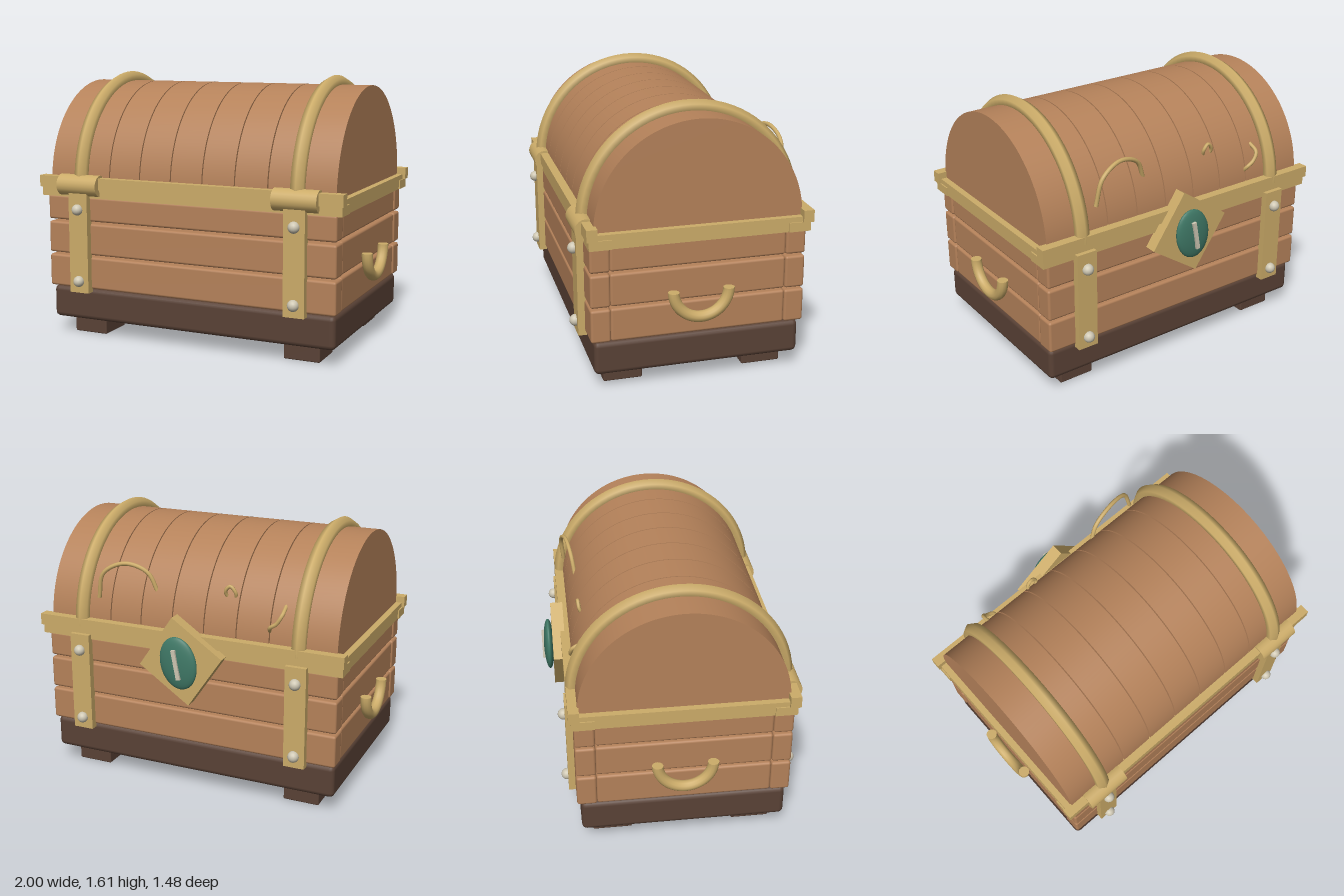
import * as THREE from 'three';
import { toCreasedNormals } from 'three/addons/utils/BufferGeometryUtils.js';
import { RoundedBoxGeometry } from 'three/addons/geometries/RoundedBoxGeometry.js';

export function createModel() {
  const model = new THREE.Group();
  model.name = 'treasureChest';

  const mat = (name, color) => {
    const m = new THREE.MeshStandardMaterial({ color });
    m.name = name;
    return m;
  };
  const wood = mat('wood', 0xb5825a);
  const darkWood = mat('darkWood', 0x5a4236);
  const gold = mat('gold', 0xccac69);
  const green = mat('greenStone', 0x3f7866);
  const silver = mat('rivetMetal', 0xcdc6b2);

  const add = (name, geo, material, x = 0, y = 0, z = 0, parent = model) => {
    const mesh = new THREE.Mesh(geo, material);
    mesh.name = name;
    mesh.position.set(x, y, z);
    parent.add(mesh);
    return mesh;
  };
  // Box given by its limits on each axis, optionally rounded
  const box = (name, material, [x0, x1], [y0, y1], [z0, z1], r = 0) => {
    const s = [x1 - x0, y1 - y0, z1 - z0];
    const geo = r ? new RoundedBoxGeometry(...s, 2, r) : new THREE.BoxGeometry(...s);
    return add(name, geo, material, (x0 + x1) / 2, (y0 + y1) / 2, (z0 + z1) / 2);
  };
  const sideRange = (s, a, b) => (s > 0 ? [a, b] : [-b, -a]);

  // Base and feet
  box('base', darkWood, [-0.925, 0.925], [0.1, 0.3], [-0.575, 0.64], 0.03);
  for (const s of [-1, 1]) {
    for (const z of [[0.34, 0.57], [-0.505, -0.27]]) {
      box('foot', darkWood, sideRange(s, 0.593, 0.815), [0, 0.11], z, 0.008);
    }
  }

  // Hollow body of planks with gaps between the rows
  for (const y of [[0.305, 0.503], [0.516, 0.71], [0.724, 0.875]]) {
    box('frontPlank', wood, [-0.935, 0.935], y, [0.545, 0.66], 0.015);
    box('backPlank', wood, [-0.935, 0.935], y, [-0.597, -0.48], 0.015);
    for (const s of [-1, 1]) {
      box('sidePlank', wood, sideRange(s, 0.82, 0.93), y, [-0.48, 0.545], 0.015);
    }
  }

  // Rim around the top of the body
  box('frontRimLower', gold, [-0.968, 0.968], [0.87, 0.925], [0.54, 0.668]);
  box('frontRimUpper', gold, [-0.978, 0.978], [0.925, 0.995], [0.62, 0.682]);
  box('backRimLower', gold, [-0.968, 0.968], [0.87, 0.925], [-0.61, -0.48]);
  box('backRimUpper', gold, [-0.978, 0.978], [0.925, 0.995], [-0.625, -0.563]);
  for (const s of [-1, 1]) {
    box('sideRim', gold, sideRange(s, 0.9, 0.96), [0.87, 0.955], [-0.565, 0.625]);
  }

  // Barrel lid: nine half-round slices
  const lidY = 0.95, midZ = 0.03, pitch = 1.85 / 9;
  const arch = new THREE.Shape();
  arch.absarc(0, 0, 0.603, 0, Math.PI, false);
  const slice = toCreasedNormals(new THREE.ExtrudeGeometry(arch, {
    depth: pitch - 0.007, bevelEnabled: false, curveSegments: 40,
  }).translate(0, 0, -(pitch - 0.007) / 2).rotateY(Math.PI / 2), 0.5);
  for (let i = 0; i < 9; i++) add('lidPlank', slice, wood, (i - 4) * pitch, lidY, midZ);

  // Straps, hinges, rivets and side handles
  const lidStrap = new THREE.TorusGeometry(0.615, 0.045, 6, 40, Math.PI).rotateY(Math.PI / 2);
  const hinge = new THREE.CylinderGeometry(0.065, 0.065, 0.27, 20).rotateZ(Math.PI / 2);
  const rivet = new THREE.SphereGeometry(0.034, 16, 12);
  const handle = new THREE.TorusGeometry(0.162, 0.033, 12, 28, Math.PI)
    .rotateZ(Math.PI).rotateY(Math.PI / 2);
  const handleCap = new THREE.CircleGeometry(0.033, 12).rotateX(-Math.PI / 2);
  for (const s of [-1, 1]) {
    add('lidStrap', lidStrap, gold, s * 0.7, lidY, midZ);
    add('hinge', hinge, gold, s * 0.7, 0.945, 0.655);
    box('frontStrap', gold, sideRange(s, 0.636, 0.764), [0.285, 0.91], [0.65, 0.7]);
    box('backStrap', gold, sideRange(s, 0.636, 0.764), [0.285, 0.9], [-0.637, -0.59]);
    for (const y of [0.8, 0.357]) {
      add('frontRivet', rivet, silver, s * 0.7, y, 0.705);
      add('backRivet', rivet, silver, s * 0.7, y, -0.643);
    }
    add('sideHandle', handle, gold, s * 0.967, 0.58, 0.032);
    for (const d of [-0.162, 0.162]) {
      add('handleEnd', handleCap, gold, s * 0.967, 0.58, 0.032 + d);
    }
  }

  // Lock on the back: tilted square plate, oval stone and a slim bar
  const lock = new THREE.Group();
  lock.name = 'lock';
  lock.position.set(0, 0.84, 0);
  lock.rotation.z = -0.187;
  model.add(lock);
  add('lockPlate', new THREE.BoxGeometry(0.381, 0.381, 0.075), gold, 0, 0, -0.638, lock)
    .rotation.z = Math.PI / 4;
  add('lockStone', new THREE.SphereGeometry(1, 28, 18), green, 0, 0, -0.698, lock)
    .scale.set(0.117, 0.16, 0.032);
  add('lockBar', new THREE.BoxGeometry(0.025, 0.18, 0.03), silver, 0, 0, -0.725, lock);

  // Trinket loops poking through the back of the lid
  const loop = (name, points, r) => {
    const curve = new THREE.CatmullRomCurve3(points.map((p) => new THREE.Vector3(...p)));
    add(name, new THREE.TubeGeometry(curve, 24, r, 8), gold);
  };
  loop('largeLoop', [[0.59, 1.13, -0.565], [0.55, 1.29, -0.575], [0.42, 1.355, -0.55],
    [0.28, 1.31, -0.525], [0.22, 1.18, -0.505]], 0.013);
  loop('smallLoop', [[-0.23, 1.2, -0.49], [-0.22, 1.255, -0.515], [-0.25, 1.285, -0.515],
    [-0.28, 1.25, -0.51], [-0.275, 1.2, -0.49]], 0.011);
  loop('hookLoop', [[-0.51, 1.06, -0.55], [-0.52, 1.09, -0.575], [-0.56, 1.12, -0.58],
    [-0.59, 1.17, -0.57], [-0.59, 1.21, -0.5]], 0.012);

  return model;
}
